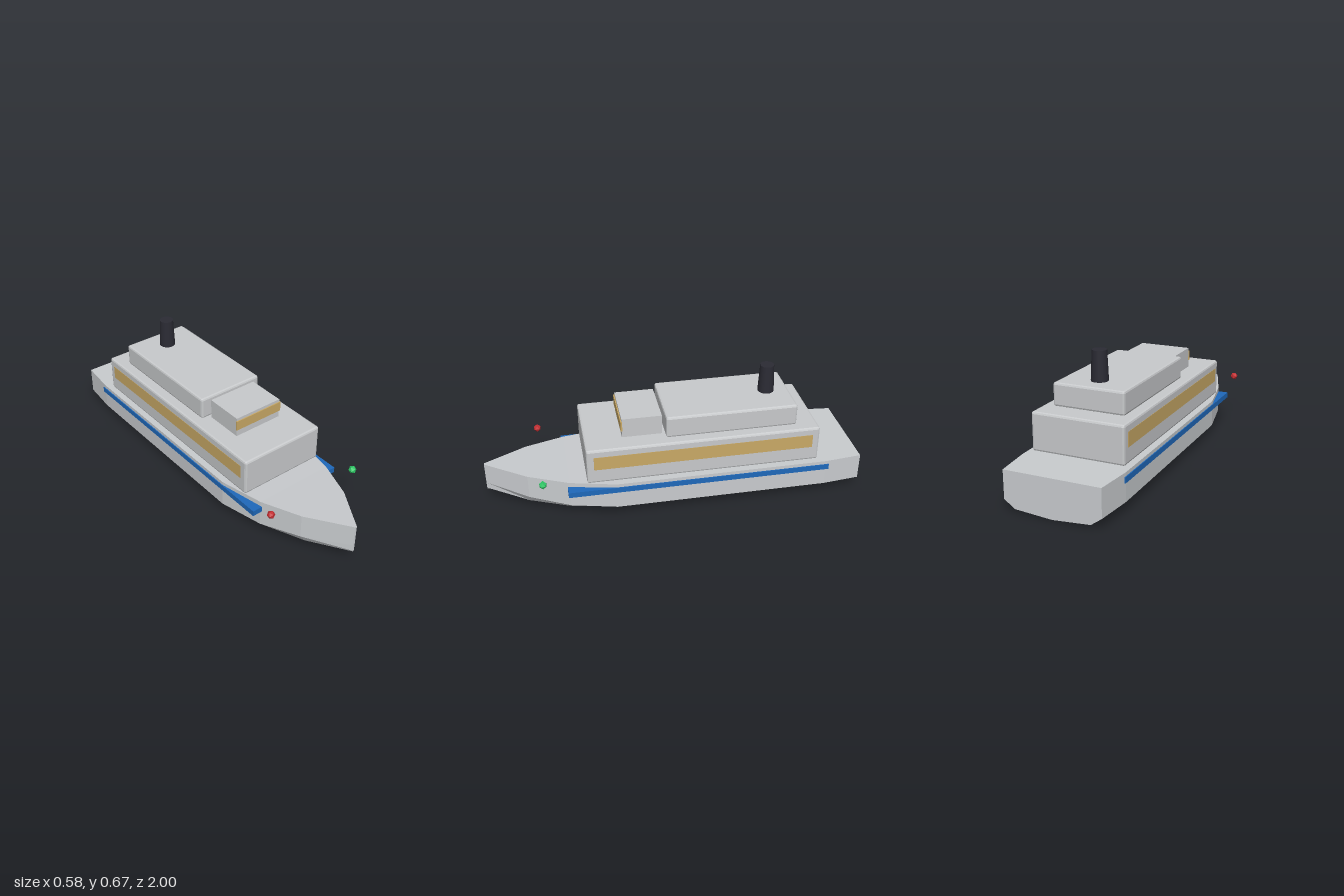
import * as THREE from 'three';
import { RoundedBoxGeometry } from 'three/addons/geometries/RoundedBoxGeometry.js';

const material = (name, color) => {
  const m = new THREE.MeshStandardMaterial({ color });
  m.name = name;
  return m;
};

// Flat-faced hull lofted through half sections: keel, bilge, chine, deck edge
function hullGeometry() {
  // z, width scale, then heights of keel, bilge, chine, deck edge
  const stations = [
    [-1, 0.925, 0, 0.015, 0.055, 0.2],
    [-0.8, 1, 0, 0.015, 0.055, 0.2],
    [0.33, 1, 0, 0.015, 0.055, 0.2],
    [0.57, 0.82, 0.008, 0.021, 0.063, 0.207],
    [0.78, 0.525, 0.03, 0.042, 0.087, 0.218],
    [1, 0.02, 0.07, 0.078, 0.114, 0.23],
  ];
  const widths = [0, 0.21, 0.27, 0.27];
  const rings = stations.map(([z, s, ...ys]) => {
    const left = ys.map((y, i) => [widths[i] * s, y, z]);
    const right = left.slice(1).reverse().map(([x, y]) => [-x, y, z]);
    return [...left, ...right];
  });
  const n = rings[0].length;
  const pos = [];
  const tri = (a, b, c) => pos.push(...a, ...b, ...c);
  for (let k = 0; k < rings.length - 1; k++) {
    const a = rings[k], b = rings[k + 1];
    for (let i = 0; i < n; i++) {
      const j = (i + 1) % n;
      tri(a[i], a[j], b[j]);
      tri(a[i], b[j], b[i]);
    }
  }
  // Transom and stem caps
  const stern = rings[0], bow = rings[rings.length - 1];
  for (let i = 1; i < n - 1; i++) {
    tri(stern[0], stern[i + 1], stern[i]);
    tri(bow[0], bow[i], bow[i + 1]);
  }
  const g = new THREE.BufferGeometry();
  g.setAttribute('position', new THREE.Float32BufferAttribute(pos, 3));
  g.computeVertexNormals();
  return g;
}

export function createModel() {
  const ship = new THREE.Group();
  ship.name = 'ship';
  const white = material('hull grey white', 0xc9cccf);
  const cabin = material('cabin grey white', 0xc8cacc);
  const glass = material('warm window', 0xc9a966);
  const blue = material('stripe blue', 0x1f69bb);
  const dark = material('funnel charcoal', 0x2b2b34);
  const red = material('port red', 0xc42e32);
  const green = material('starboard green', 0x2ec866);

  const add = (name, geometry, mat, x = 0, y = 0, z = 0) => {
    const mesh = new THREE.Mesh(geometry, mat);
    mesh.name = name;
    mesh.position.set(x, y, z);
    ship.add(mesh);
    return mesh;
  };
  // Box given by its extents on each axis
  const block = (name, mat, [x0, x1], [y0, y1], [z0, z1], bevel = 0) => {
    const size = [x1 - x0, y1 - y0, z1 - z0];
    const g = bevel ? new RoundedBoxGeometry(...size, 1, bevel) : new THREE.BoxGeometry(...size);
    if (bevel) g.computeVertexNormals(); // facet the bevels
    return add(name, g, mat, (x0 + x1) / 2, (y0 + y1) / 2, (z0 + z1) / 2);
  };

  add('hull', hullGeometry(), white);

  // Superstructure
  block('mainCabin', cabin, [-0.243, 0.243], [0.204, 0.401], [-0.758, 0.478], 0.011);
  block('upperCabin', cabin, [-0.189, 0.189], [0.4, 0.519], [-0.643, 0.055], 0.011);
  block('bridge', cabin, [-0.14, 0.14], [0.4, 0.508], [0.07, 0.28]);
  block('bridgeWindow', glass, [-0.144, 0.144], [0.44, 0.493], [0.277, 0.286]);

  // Funnel
  add('funnel', new THREE.CylinderGeometry(0.037, 0.044, 0.154, 16), dark, 0, 0.595, -0.52);

  // Mirrored side details
  for (const s of [1, -1]) {
    const side = s > 0 ? 'left' : 'right';
    const span = (a, b) => (s > 0 ? [a, b] : [-b, -a]);
    block(side + 'Windows', glass, span(0.237, 0.2445), [0.285, 0.36], [-0.72, 0.44]);
    block(side + 'Stripe', blue, span(0.22, 0.275), [0.151, 0.181], [-0.815, 0.58]);
    add(side + 'NavigationLight', new THREE.IcosahedronGeometry(0.021, 0),
      s > 0 ? green : red, s * 0.272, 0.249, 0.705);
  }
  return ship;
}
